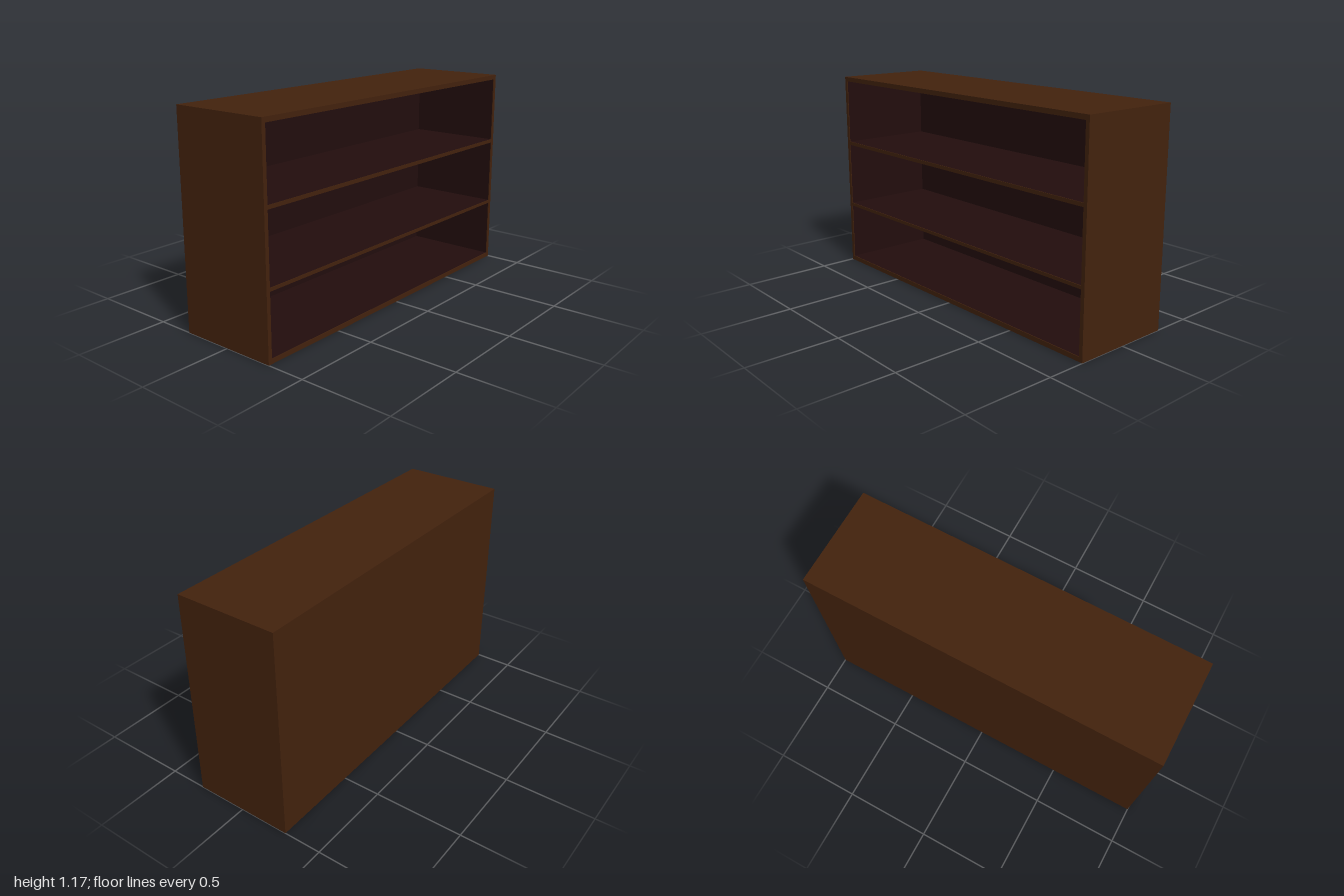
import * as THREE from 'three';

export function createModel() {
  const group = new THREE.Group();
  group.name = 'bookcase';
  const brown = new THREE.MeshStandardMaterial({ name: 'brown wood', color: 0x43220d });
  const dark = new THREE.MeshStandardMaterial({ name: 'dark lining', color: 0x220d0d });

  const W = 2, H = 1.175, D = 0.575;
  const rim = 0.022, lip = 0.026, t = 0.004; // frame width, frame height, sheet thickness
  const zf = D / 2;

  function box(name, mat, x0, x1, y0, y1, z0, z1) {
    const mesh = new THREE.Mesh(new THREE.BoxGeometry(x1 - x0, y1 - y0, z1 - z0), mat);
    mesh.position.set((x0 + x1) / 2, (y0 + y1) / 2, (z0 + z1) / 2);
    mesh.name = name;
    group.add(mesh);
  }

  // Outer shell, open underneath
  box('top', brown, -1, 1, H - t, H, -zf, zf - t);
  box('back', brown, -1, 1, 0, H - t, -zf, -zf + t);
  box('leftSide', brown, 1 - t, 1, 0, H - t, -zf + t, zf - t);
  box('rightSide', brown, -1, -1 + t, 0, H - t, -zf + t, zf - t);

  // Front frame with one large opening
  const shape = new THREE.Shape();
  shape.moveTo(-1, 0).lineTo(W / 2, 0).lineTo(W / 2, H).lineTo(-1, H).closePath();
  const hole = new THREE.Path();
  const hx = W / 2 - rim;
  hole.moveTo(-hx, lip).lineTo(-hx, H - lip).lineTo(hx, H - lip).lineTo(hx, lip).closePath();
  shape.holes.push(hole);
  const frame = new THREE.Mesh(
    new THREE.ExtrudeGeometry(shape, { depth: t, bevelEnabled: false }), brown);
  frame.position.z = zf - t;
  frame.name = 'frontFrame';
  group.add(frame);

  // Dark lining; the floor is raised above the bottom edge
  const zb = -zf + rim;
  box('floor', dark, -1 + t, 1 - t, lip - t, lip, -zf + t, zf - t);
  box('ceilingLining', dark, -hx, hx, H - lip, H - lip + t, zb, zf - t);
  box('backLining', dark, -hx, hx, lip, H - lip, zb - t, zb);
  for (const [name, s] of [['leftLining', 1], ['rightLining', -1]]) {
    const a = s * hx, b = s * (hx + t);
    box(name, dark, Math.min(a, b), Math.max(a, b), lip, H - lip, zb, zf - t);
  }

  // Shelves with a brown front edge
  for (const [name, y, h] of [['lowerShelf', 0.372, 0.018], ['upperShelf', 0.765, 0.02]]) {
    box(name, dark, -hx, hx, y - h / 2, y + h / 2, zb, zf - t);
    box(name + 'Edge', brown, -hx, hx, y - h / 2, y + h / 2, zf - t, zf);
  }

  return group;
}
